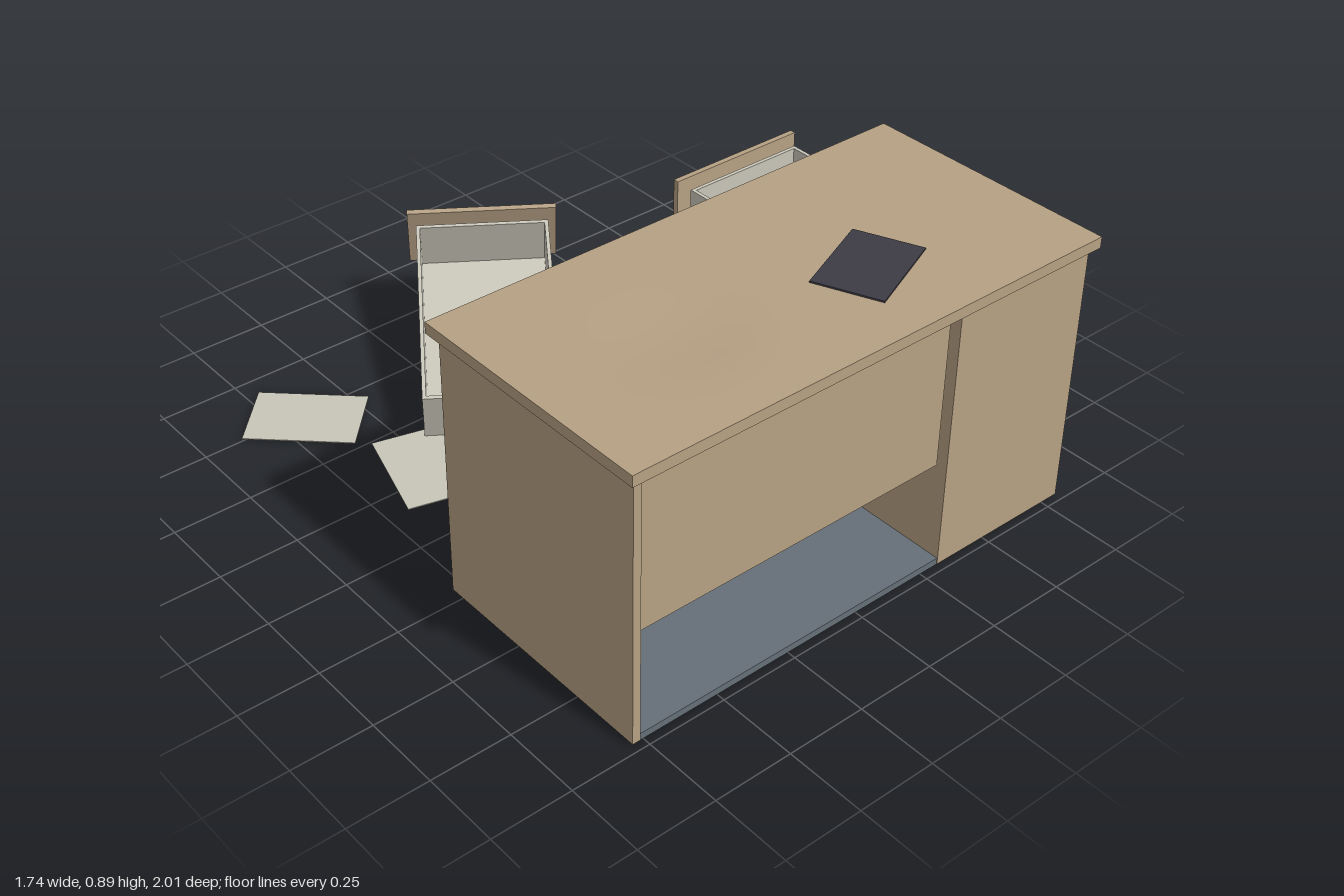
import * as THREE from 'three';

const mat = (name, color, opts = {}) => Object.assign(new THREE.MeshStandardMaterial({ color, ...opts }), { name });

export function createModel() {
  const wood = mat('wood', 0xb5a083);
  const cream = mat('paper cream', 0xc8c5b8);
  const slate = mat('slate floor', 0x656f78);
  const dark = mat('dark mat', 0x3d3b43);
  const metal = mat('handle metal', 0x85858a);

  const model = new THREE.Group();
  model.name = 'brokenDesk';

  // Box given by its lower and upper bounds
  const box = (parent, name, material, [x0, y0, z0], [x1, y1, z1]) => {
    const mesh = new THREE.Mesh(new THREE.BoxGeometry(x1 - x0, y1 - y0, z1 - z0), material);
    mesh.position.set((x0 + x1) / 2, (y0 + y1) / 2, (z0 + z1) / 2);
    mesh.name = name;
    parent.add(mesh);
    return mesh;
  };

  // Desk top with a shallow sag on its right half
  const top = box(model, 'deskTop', wood, [-0.81, 0.85, 0.18], [0.825, 0.885, 1]);
  const [w, h, d] = [1.635, 0.035, 0.82];
  top.geometry = new THREE.BoxGeometry(w, h, d, 40, 1, 24);
  const pos = top.geometry.attributes.position;
  for (let i = 0; i < pos.count; i++) {
    const r = Math.hypot(pos.getX(i) + 0.37, pos.getZ(i) - 0.02) / 0.26;
    if (r < 1) pos.setY(i, pos.getY(i) - 0.012 * (1 - r * r) ** 2);
  }
  top.geometry.computeVertexNormals();

  // Desk body
  box(model, 'drawerPedestal', wood, [0.31, 0.01, 0.21], [0.803, 0.85, 0.98]);
  box(model, 'sidePanel', wood, [-0.79, 0.01, 0.21], [-0.765, 0.85, 0.98]);
  box(model, 'modestyPanel', wood, [-0.765, 0.36, 0.945], [0.285, 0.825, 0.965]);
  box(model, 'basePlate', slate, [-0.768, 0.008, 0.212], [0.8, 0.03, 0.978]);

  // Open tray with a loose face board and handle; origin at the lower outer edge
  const addDrawer = (name, position, pitch, yaw) => {
    const g = new THREE.Group();
    g.name = name;
    const [hw, ht, len, t] = [0.208, 0.18, 0.69, 0.012];
    box(g, 'drawerFloor', cream, [-hw, 0, 0], [hw, t, len]);
    for (const s of [-1, 1]) {
      const a = s * hw, b = s * (hw - t);
      box(g, 'drawerSide', cream, [Math.min(a, b), t, 0], [Math.max(a, b), ht, len]);
    }
    for (const z of [0, len - t]) box(g, 'drawerEnd', cream, [t - hw, t, z], [hw - t, ht, z + t]);
    box(g, 'drawerFace', wood, [-0.235, -0.015, -0.045], [0.235, 0.205, -0.027]);
    box(g, 'handleBar', metal, [-0.068, 0.149, -0.069], [0.068, 0.161, -0.06]);
    for (const x of [-0.055, 0.055]) {
      box(g, 'handlePost', metal, [x - 0.005, 0.151, -0.06], [x + 0.005, 0.159, -0.045]);
    }
    g.rotation.set(pitch, yaw, 0, 'YXZ');
    g.position.set(...position);
    model.add(g);
  };
  addDrawer('upperDrawer', [0.557, 0.52, -0.125], 0, 0);
  addDrawer('lowerDrawer', [0.56, 0.285, 0.088], 0, 0.06);
  addDrawer('fallenDrawer', [0.1, 0.209, -0.84], 0.29, -0.6);

  // Thin rectangle lying flat: centre x, z and direction of its long side
  const sheet = (name, material, [x, z, dx, dz], y, size, tilt = 0) => {
    const mesh = new THREE.Mesh(new THREE.BoxGeometry(...size), material);
    mesh.name = name;
    mesh.position.set(x, y, z);
    mesh.rotation.set(tilt, Math.atan2(-dz, dx), 0, 'YXZ');
    model.add(mesh);
  };

  // Scattered papers
  [
    [-0.665, -0.725, 0.25, 0.235],
    [-0.515, -0.29, -0.095, 0.325],
    [-0.3, -0.03, -0.07, 0.335],
    [0.678, -0.567, 0.345, -0.06],
    [0.69, -0.14, 0.13, 0.315],
    [0.33, -0.505, 0.31, 0.14],
    [0.144, -0.474, 0.19, 0.105],
  ].forEach((p, i) => {
    sheet('loosePaper', cream, p, 0.006 + 0.0015 * i, [0.343, 0.003, 0.246], 0.02 * (i % 2 ? 1 : -1));
  });

  // Desk mat on the top
  sheet('deskMat', dark, [0.24, 0.704, 0.27, -0.115], 0.887, [0.292, 0.006, 0.21]);

  return model;
}
